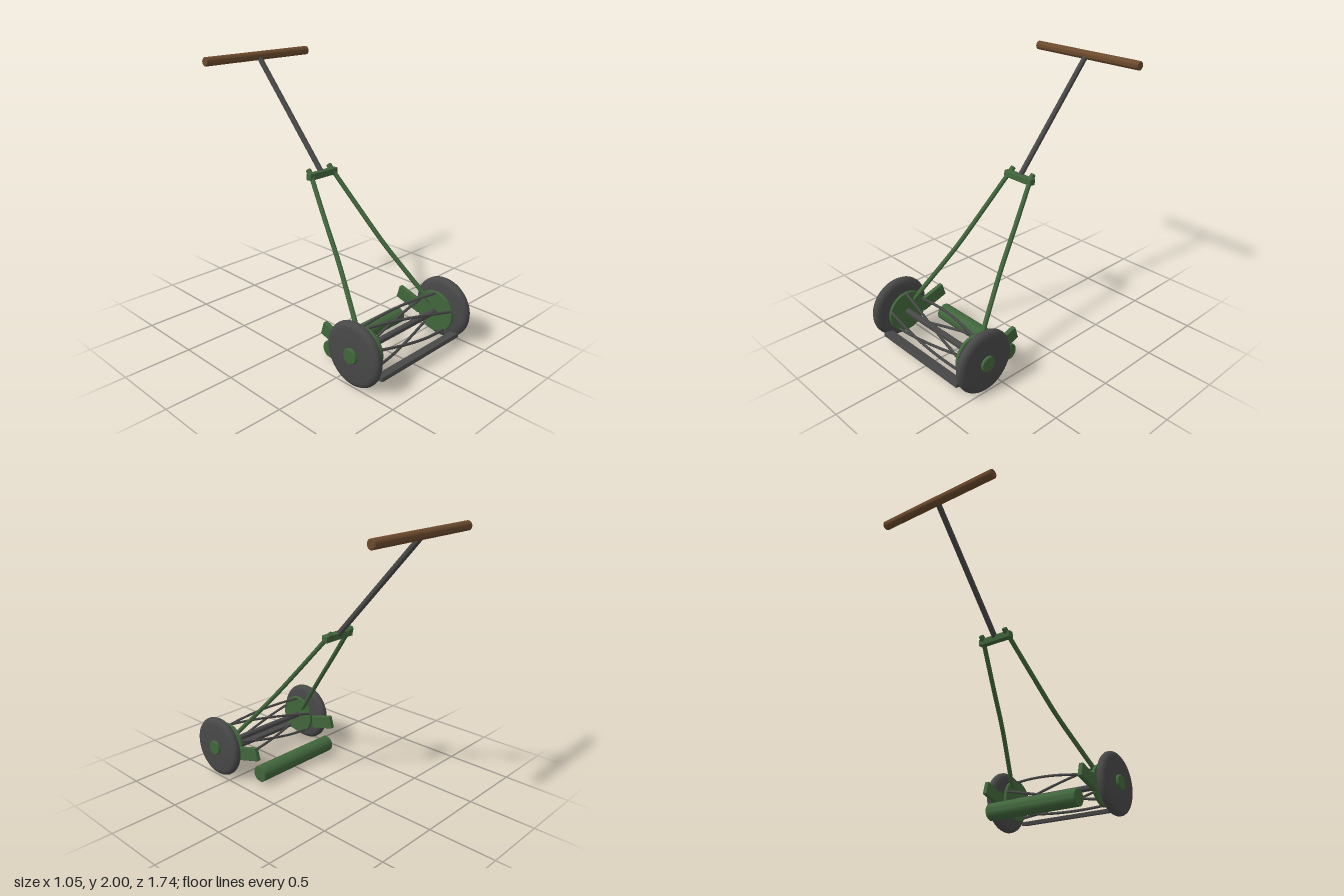
import * as THREE from 'three';
import { toCreasedNormals } from 'three/addons/utils/BufferGeometryUtils.js';
import { RoundedBoxGeometry } from 'three/addons/geometries/RoundedBoxGeometry.js';

const V = (x, y, z) => new THREE.Vector3(x, y, z);

export function createModel() {
  const model = new THREE.Group();
  model.name = 'reelMower';
  const paint = (name, color) => {
    const m = new THREE.MeshStandardMaterial({ color });
    m.name = name;
    return m;
  };
  const green = paint('greenPaint', 0x41663c);
  const iron = paint('darkIron', 0x484848);
  const wood = paint('brownWood', 0x6b492d);

  const add = (name, geometry, material) => {
    const mesh = new THREE.Mesh(geometry, material);
    mesh.name = name;
    model.add(mesh);
    return mesh;
  };

  // Solid rod with softly bevelled ends, running from a to b
  const rod = (name, a, b, r, material, bevel = 0.005, sides = 32) => {
    const h = a.distanceTo(b) / 2;
    const profile = [[0, -h], [r - bevel, -h], [r, -h + bevel], [r, h - bevel], [r - bevel, h], [0, h]]
      .map(([x, y]) => new THREE.Vector2(x, y));
    const geo = toCreasedNormals(new THREE.LatheGeometry(profile, sides), 0.6);
    const mesh = add(name, geo, material);
    mesh.position.copy(a).add(b).multiplyScalar(0.5);
    mesh.quaternion.setFromUnitVectors(V(0, 1, 0), b.clone().sub(a).normalize());
    return mesh;
  };

  const axleY = 0.235, axleZ = 0.64;

  // Wheels, hubs, reel end plates, brackets and handle arms, mirrored
  const wheelProfile = [[0, -0.036], [0.185, -0.036], [0.205, -0.033], [0.222, -0.022], [0.23, -0.008],
    [0.23, 0.008], [0.222, 0.022], [0.205, 0.033], [0.185, 0.036], [0, 0.036]]
    .map(([x, y]) => new THREE.Vector2(x, y));
  for (const s of [1, -1]) {
    const side = s > 0 ? 'left' : 'right';
    const wheel = add(side + 'Wheel', new THREE.LatheGeometry(wheelProfile, 56), iron);
    wheel.geometry = toCreasedNormals(wheel.geometry, 0.7);
    wheel.rotation.z = Math.PI / 2;
    wheel.position.set(s * 0.47, axleY, axleZ);

    rod(side + 'Hub', V(s * 0.42, axleY, axleZ), V(s * 0.525, axleY, axleZ), 0.056, green);
    rod(side + 'EndPlate', V(s * 0.362, axleY, axleZ), V(s * 0.385, axleY, axleZ), 0.155, green, 0.003, 48);

    const bracket = add(side + 'RollerBracket', new RoundedBoxGeometry(0.034, 0.1, 0.22, 2, 0.005), green);
    bracket.position.set(s * 0.4, 0.232, 0.383);
    bracket.rotation.x = 0.29;

    const arm = new THREE.CatmullRomCurve3([
      V(s * 0.385, 0.265, 0.615), V(s * 0.305, 0.485, 0.428), V(s * 0.235, 0.69, 0.255),
      V(s * 0.172, 0.935, 0.055), V(s * 0.11, 1.18, -0.14)]);
    add(side + 'HandleArm', new THREE.TubeGeometry(arm, 32, 0.017, 8), green);

    rod(side + 'Bolt', V(s * 0.102, 1.17, -0.13), V(s * 0.102, 1.231, -0.187), 0.02, green, 0.005, 16);
  }

  // Reel: axle with five helical blades
  rod('axle', V(-0.45, axleY, axleZ), V(0.45, axleY, axleZ), 0.023, iron);
  const twist = Math.PI / 5, bladeRadius = 0.144;
  for (let i = 0; i < 5; i++) {
    const points = [];
    for (let k = 0; k <= 12; k++) {
      const t = k / 6 - 1;
      const a = twist * (1 + 2 * i) + t * twist;
      points.push(V(t * 0.37, axleY + bladeRadius * Math.cos(a), axleZ + bladeRadius * Math.sin(a)));
    }
    add('reelBlade' + (i + 1), new THREE.TubeGeometry(new THREE.CatmullRomCurve3(points), 36, 0.01, 8), iron);
  }

  // Fixed cutter bar in front and roller behind
  const bar = add('cutterBar', new RoundedBoxGeometry(0.82, 0.03, 0.075, 2, 0.004), iron);
  bar.position.set(0, 0.09, 0.794);
  bar.rotation.x = -0.2;
  rod('rearRoller', V(-0.37, 0.08, 0.3), V(0.37, 0.08, 0.3), 0.063, green, 0.005, 40);

  // Handle: crosspiece, shaft and wooden grip
  const cross = add('crosspiece', new RoundedBoxGeometry(0.27, 0.05, 0.05, 2, 0.006), green);
  cross.position.set(0, 1.188, -0.148);
  cross.rotation.x = -0.08;
  rod('handleShaft', V(0, 1.185, -0.145), V(0, 1.963, -0.83), 0.02, iron);
  rod('handleGrip', V(-0.487, 1.968, -0.835), V(0.487, 1.968, -0.835), 0.033, wood, 0.005, 32);

  return model;
}
